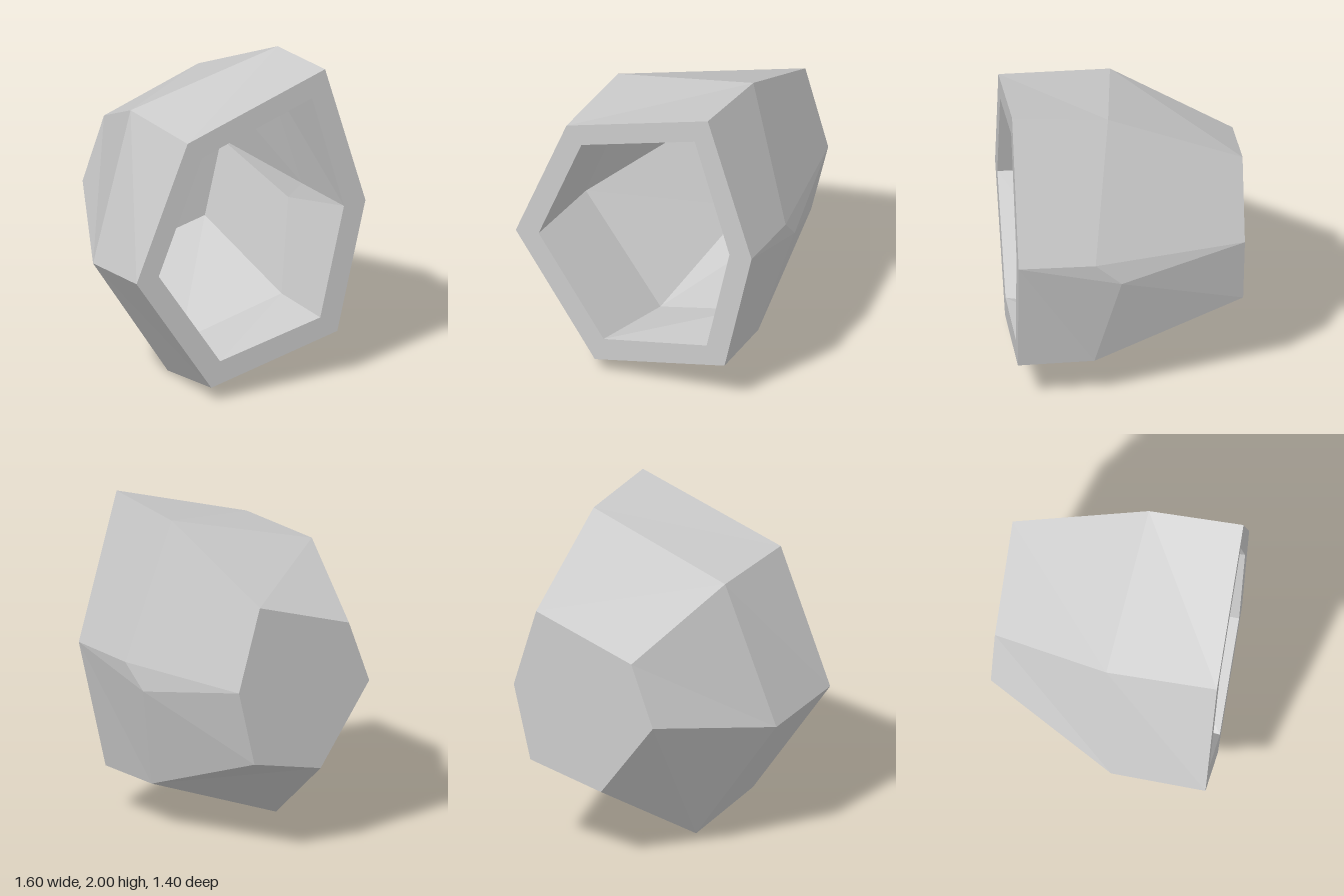
import * as THREE from 'three';

// Cross-sections, clockwise from the upper -x corner. The +x corner is doubled
// so its crease can split into a small facet halfway along the body.
const side = [0.79, 1.09];
const ring = (z, pts) => pts.map(([x, y, pz]) => new THREE.Vector3(x, y, pz ?? z + 0.015 * y));
const flat = (z, pts) => ring(0, pts.map(([x, y]) => [x, y, z]));

const outerRim = ring(0.67, [[-0.45, 1.70], [0.51, 2.0], [0.80, 1.10], [0.80, 1.10], [0.61, 0.29], [-0.27, 0.09], [-0.80, 0.86]]);
const outerMid = ring(0, [[-0.45, 1.70, 0.02], [0.52, 1.96, 0.12], [...side, 0.22], [0.77, 0.94, 0.06], [0.60, 0.29, 0.21], [-0.22, 0, 0.07], [-0.76, 0.80, 0.10]]);
const outerBack = flat(-0.70, [[-0.21, 1.39], [0.45, 1.60], [0.605, 1.09], [0.605, 1.09], [0.49, 0.62], [0, 0.51], [-0.36, 1.0]]);

const innerRim = ring(0.67, [[-0.35, 1.59], [0.42, 1.83], [0.65, 1.09], [0.65, 1.09], [0.49, 0.40], [-0.21, 0.25], [-0.645, 0.88]]);
const innerMid = ring(0, [[-0.35, 1.59, 0.04], [0.435, 1.81, 0.12], [0.645, 1.08, 0.20], [0.63, 0.95, 0.06], [0.50, 0.40, 0.20], [-0.13, 0.18, 0.08], [-0.625, 0.87, 0.10]]);
const innerBack = flat(-0.69, [[-0.11, 1.42], [0.45, 1.60], [0.605, 1.09], [0.605, 1.09], [0.49, 0.62], [0.06, 0.52], [-0.27, 1.02]]);

// Joins successive rings, dropping triangles that collapse to a line
function loft(rings) {
  const tris = [];
  for (let r = 0; r < rings.length - 1; r++) {
    const [p, q] = [rings[r], rings[r + 1]];
    p.forEach((a, i) => {
      const j = (i + 1) % p.length;
      tris.push([a, p[j], q[j]], [a, q[j], q[i]]);
    });
  }
  return tris;
}

// Closes a ring with a fan
function cap(points, flip) {
  const tris = [];
  for (let i = 1; i < points.length - 1; i++) {
    const [a, b] = flip ? [i + 1, i] : [i, i + 1];
    tris.push([points[0], points[a], points[b]]);
  }
  return tris;
}

function part(name, tris, material) {
  const solid = tris.filter(([a, b, c]) => new THREE.Triangle(a, b, c).getArea() > 1e-5);
  const geometry = new THREE.BufferGeometry().setFromPoints(solid.flat());
  geometry.computeVertexNormals();
  const mesh = new THREE.Mesh(geometry, material);
  mesh.name = name;
  return mesh;
}

export function createModel() {
  const group = new THREE.Group();
  group.name = 'hollowHexagonalBlock';
  const material = new THREE.MeshStandardMaterial({ color: 0xcccccc, flatShading: true });
  group.add(
    part('outerWall', loft([outerRim, outerMid, outerBack]), material),
    part('frontRim', loft([innerRim, outerRim]), material),
    part('cavityWall', loft([innerBack, innerMid, innerRim]), material),
    part('cavityFloor', cap(innerBack, true), material),
    part('backFace', cap(outerBack, false), material),
  );
  return group;
}
